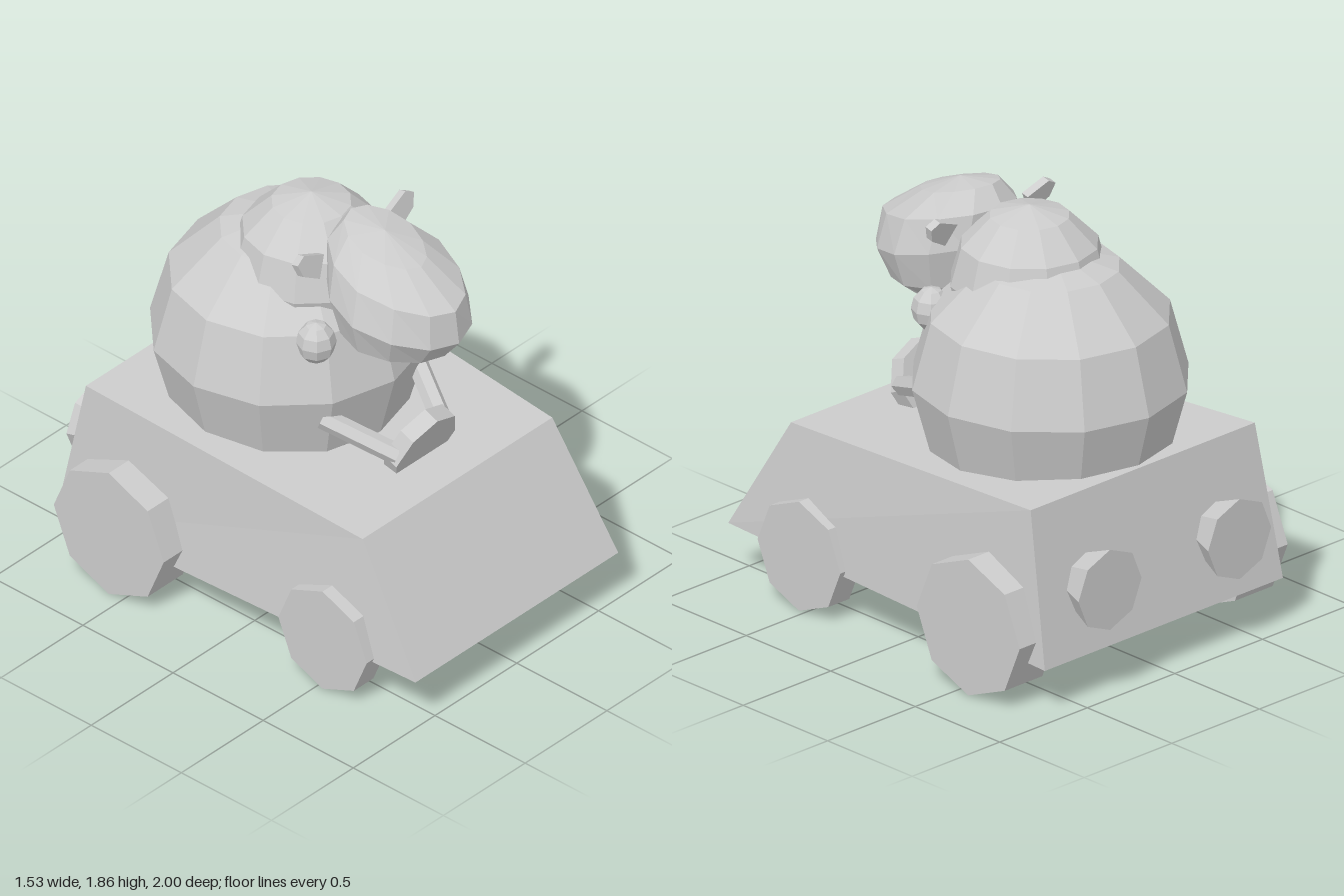
import * as THREE from 'three';

export function createModel() {
  const model = new THREE.Group();
  const grey = new THREE.MeshStandardMaterial({ color: 0xcccccc, flatShading: true });
  grey.name = 'plainGrey';

  const add = (name, geo, x = 0, y = 0, z = 0) => {
    const mesh = new THREE.Mesh(geo, grey);
    mesh.name = name;
    mesh.position.set(x, y, z);
    model.add(mesh);
    return mesh;
  };

  // Wedge-shaped cart: each box corner goes to [half width, y, z]
  const cart = new THREE.BoxGeometry(2, 2, 2);
  const corner = {
    topFront: [0.58, 0.775, 0.67], topBack: [0.64, 0.87, -0.81],
    bottomFront: [0.62, 0.23, 1], bottomBack: [0.68, 0.2, -0.935],
  };
  const cp = cart.attributes.position;
  for (let i = 0; i < cp.count; i++) {
    const key = (cp.getY(i) > 0 ? 'top' : 'bottom') + (cp.getZ(i) > 0 ? 'Front' : 'Back');
    const [w, y, z] = corner[key];
    cp.setXYZ(i, Math.sign(cp.getX(i)) * w, y, z);
  }
  cart.computeVertexNormals();
  add('cartBody', cart);

  // Driver's round body and shoulder hump
  add('driverBody', new THREE.SphereGeometry(0.585, 12, 6), 0, 1.1, -0.263);
  add('shoulders', new THREE.SphereGeometry(0.335, 12, 6), 0, 1.5, -0.14);

  // Head: tilted rings from crown to chin, [back z, back y, front z, front y, half width]
  const rings = [
    [0.27, 1.835, 0.27, 1.835, 0],
    [0.08, 1.855, 0.47, 1.745, 0.145],
    [0.02, 1.77, 0.66, 1.61, 0.25],
    [0.03, 1.62, 0.68, 1.46, 0.295],
    [0.09, 1.42, 0.6, 1.36, 0.25],
    [0.19, 1.31, 0.36, 1.29, 0.145],
    [0.28, 1.285, 0.28, 1.285, 0],
  ];
  const head = new THREE.SphereGeometry(1, 12, 6);
  const hp = head.attributes.position;
  for (let i = 0; i < hp.count; i++) {
    const [bz, by, fz, fy, w] = rings[Math.floor(i / 13)];
    const a = ((i % 13) / 12) * Math.PI * 2;
    const c = Math.sin(a);
    const t = (c + 1) / 2;
    hp.setXYZ(i, -Math.cos(a) * w * (1 - 0.15 * Math.max(0, c)), by + (fy - by) * t, bz + (fz - bz) * t);
  }
  head.computeVertexNormals();
  add('head', head);

  // Steering disc, leaning forward
  const disc = new THREE.CylinderGeometry(0.18, 0.18, 0.075, 8);
  disc.rotateX(Math.PI / 2 + 0.37);
  add('steeringDisc', disc, 0, 0.855, 0.46);

  // Six-sided bar between two points
  const bar = (name, a, b, r) => {
    const dir = b.clone().sub(a);
    const mesh = add(name, new THREE.CylinderGeometry(r, r, dir.length(), 6));
    mesh.position.copy(a).add(b).multiplyScalar(0.5);
    mesh.quaternion.setFromUnitVectors(new THREE.Vector3(0, 1, 0), dir.normalize());
  };

  const earShape = new THREE.Shape([
    [0.2, 1.74], [0.25, 1.65], [0.335, 1.7], [0.355, 1.76], [0.31, 1.785],
  ].map(([x, y]) => new THREE.Vector2(x, y)));

  for (const [side, s] of [['left', 1], ['right', -1]]) {
    // Wheels, rear pair larger and wider
    for (const [end, r, outer, z] of [['Front', 0.245, 0.67, 0.53], ['Rear', 0.305, 0.765, -0.57]]) {
      const wheel = new THREE.CylinderGeometry(r, r, outer - 0.55, 8);
      wheel.rotateZ(Math.PI / 2);
      add(side + end + 'Wheel', wheel, s * (outer + 0.55) / 2, r, z);
    }

    // Flared exhaust
    const exhaust = new THREE.CylinderGeometry(0.1, 0.18, 0.2, 8);
    exhaust.rotateX(Math.PI / 2);
    add(side + 'Exhaust', exhaust, s * 0.37, 0.49, -0.9);

    // Handlebar
    bar(side + 'Handlebar', new THREE.Vector3(s * 0.14, 0.87, 0.47),
      new THREE.Vector3(s * 0.285, 0.995, 0.18), 0.045);

    // Round paw below the head
    const paw = new THREE.SphereGeometry(1, 8, 6);
    paw.scale(0.085, 0.095, 0.085);
    add(side + 'Paw', paw, s * 0.285, 1.365, 0.145);

    // Ear plate, tipped back at the top
    const ear = new THREE.ExtrudeGeometry(earShape, { depth: 0.035, bevelEnabled: false });
    ear.translate(0, -1.72, -0.0175);
    ear.rotateX(-0.25);
    if (s < 0) ear.rotateY(Math.PI);
    const earMesh = add(side + 'Ear', ear, 0, 1.72, 0.1);
    if (s < 0) earMesh.rotation.x = -0.5;
  }

  return model;
}
